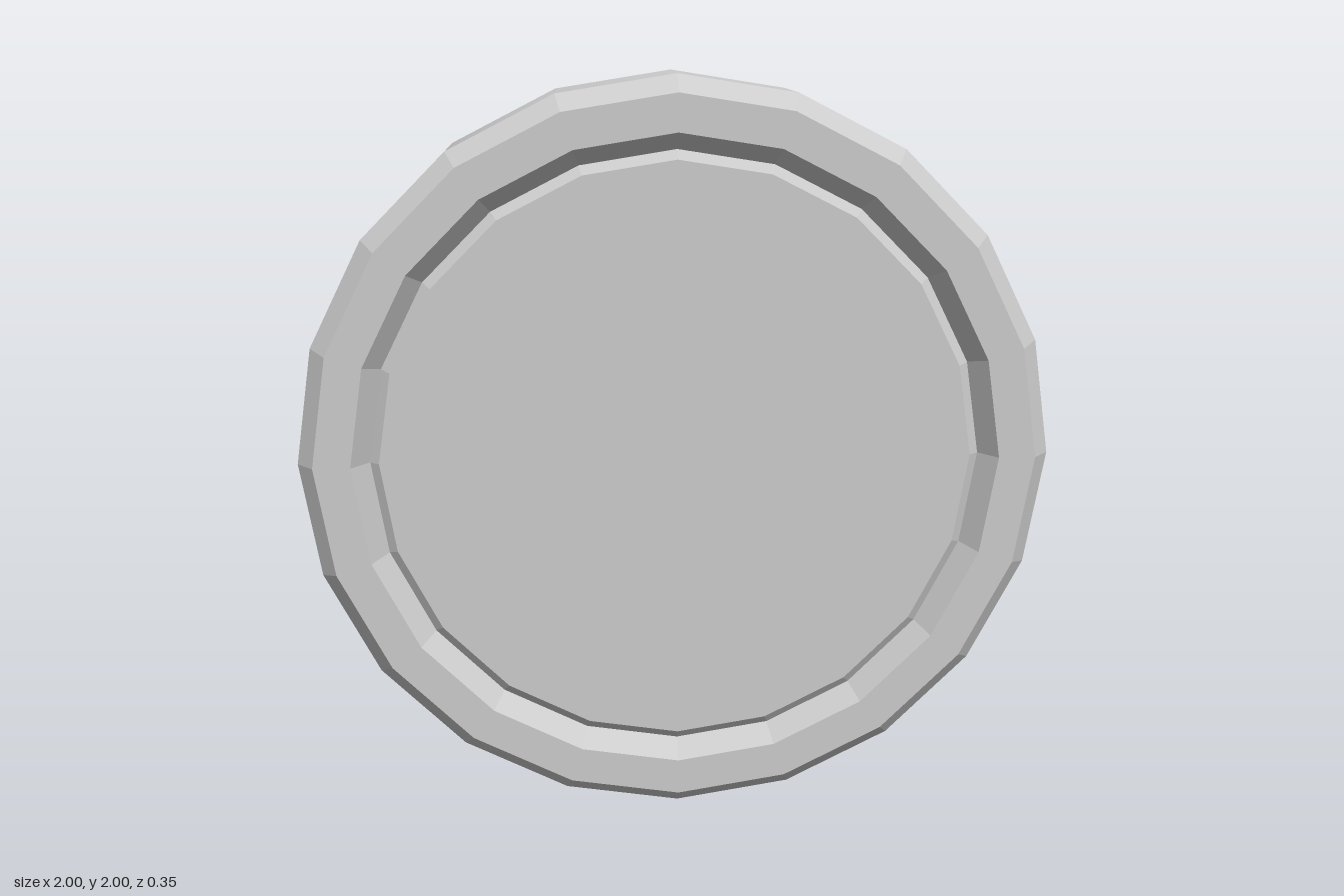
import * as THREE from 'three';

const SIDES = 20;

export function createModel() {
  const model = new THREE.Group();
  const smooth = new THREE.MeshStandardMaterial({ color: 0xcccccc });
  const flat = new THREE.MeshStandardMaterial({ color: 0xcccccc, flatShading: true });

  // One ring of the disc, swept around z between two [radius, z] points
  const ring = (name, a, b, material = flat) => {
    const points = [a, b].map(([r, z]) => new THREE.Vector2(r, z));
    const geometry = new THREE.LatheGeometry(points, SIDES).rotateX(Math.PI / 2);
    const mesh = new THREE.Mesh(geometry, material);
    mesh.name = name;
    mesh.position.y = 1;
    model.add(mesh);
  };

  // Flat back disc and its side wall
  ring('backFace', [0, -0.173], [1, -0.173]);
  ring('outerWall', [1, -0.173], [1, 0.122], smooth);

  // Raised rim with a bevel on both edges
  ring('outerBevel', [1, 0.122], [0.955, 0.173]);
  ring('rimFace', [0.955, 0.173], [0.857, 0.173]);
  ring('innerBevel', [0.857, 0.173], [0.812, 0.115]);

  // Shallow groove rising to the recessed front face
  ring('grooveSlope', [0.812, 0.115], [0.787, 0.135]);
  ring('frontFace', [0.787, 0.135], [0, 0.135]);

  return model;
}
